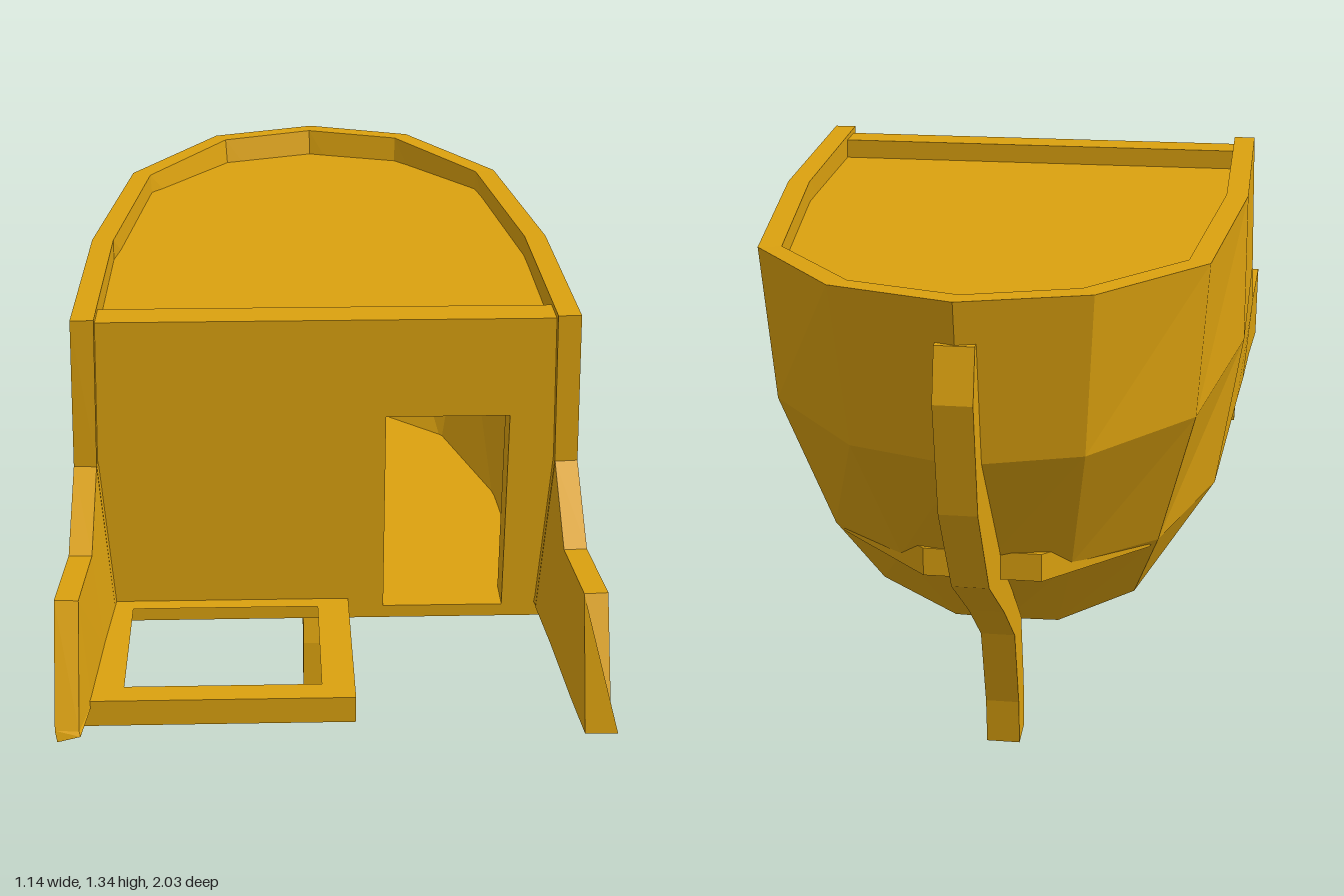
import * as THREE from 'three';

const ochre = new THREE.MeshStandardMaterial({ color: 0xdba10f });
ochre.name = 'ochre';

const mirrored = (half) => [...half, ...half.filter((p) => p[0] > 0).reverse().map(([x, ...r]) => [-x, ...r])];

// Curved wall with thickness: rows run top to bottom, points run clockwise round the stern
function shell(rows, thickness) {
  const m = rows.length, n = rows[0].length;
  const outer = rows.flat().map((p) => new THREE.Vector3(...p));
  const at = (i, j) => i * n + j;
  const tris = [];
  for (let i = 0; i < m - 1; i++) for (let j = 0; j < n - 1; j++) {
    const a = at(i, j), b = at(i, j + 1), c = at(i + 1, j), d = at(i + 1, j + 1);
    tris.push([a, c, b], [b, c, d]);
  }
  const skin = new THREE.BufferGeometry().setFromPoints(outer);
  skin.setIndex(tris.flat());
  skin.computeVertexNormals();
  const inner = [];
  outer.forEach((p, k) => {
    if (k >= n && p.distanceTo(outer[k - n]) < 1e-4) { inner.push(inner[k - n].clone()); return; }
    const q = p.clone().addScaledVector(new THREE.Vector3().fromBufferAttribute(skin.attributes.normal, k), -thickness);
    if (k < n) q.y = p.y;
    inner.push(q);
  });
  // border loop joins the outer and inner skins
  const loop = [];
  for (let j = 0; j < n - 1; j++) loop.push(at(0, j));
  for (let i = 0; i < m - 1; i++) loop.push(at(i, n - 1));
  for (let j = n - 1; j > 0; j--) loop.push(at(m - 1, j));
  for (let i = m - 1; i > 0; i--) loop.push(at(i, 0));
  const pts = [];
  for (const [a, b, c] of tris) pts.push(outer[a], outer[b], outer[c], inner[a], inner[c], inner[b]);
  loop.forEach((a, k) => {
    const b = loop[(k + 1) % loop.length];
    pts.push(outer[a], outer[b], inner[b], outer[a], inner[b], inner[a]);
  });
  const geo = new THREE.BufferGeometry().setFromPoints(pts);
  geo.computeVertexNormals();
  return geo;
}

function extrude(points, depth, hole) {
  const shape = new THREE.Shape(points.map(([x, y]) => new THREE.Vector2(x, y)));
  if (hole) shape.holes.push(new THREE.Path(hole.map(([x, y]) => new THREE.Vector2(x, y))));
  return new THREE.ExtrudeGeometry(shape, { depth, bevelEnabled: false });
}

// Horizontal slab from an [x, z] outline
function slab(outline, y, height, hole) {
  const flip = (l) => l && l.map(([x, z]) => [x, -z]);
  return extrude(flip(outline), height, flip(hole)).rotateX(-Math.PI / 2).translate(0, y, 0);
}

const rect = (x0, x1, y0, y1) => [[x0, y0], [x1, y0], [x1, y1], [x0, y1]];

export function createModel() {
  const group = new THREE.Group();
  const add = (name, geo) => {
    const mesh = new THREE.Mesh(geo, ochre);
    mesh.name = name;
    group.add(mesh);
  };

  // Stern hull, with the lower part swept down to the keel
  add('hull', shell([
    [[0.54, 1.338, 0.48], [0.535, 1.328, -0.07], [0.47, 1.325, -0.61], [0.26, 1.34, -0.9], [0, 1.342, -0.985]],
    [[0.55, 1.0, 0.48], [0.54, 0.985, -0.07], [0.45, 0.98, -0.58], [0.24, 0.98, -0.83], [0, 0.98, -0.91]],
    [[0.525, 0.63, 0.48], [0.485, 0.62, -0.07], [0.37, 0.62, -0.42], [0.19, 0.62, -0.57], [0, 0.62, -0.61]],
    [[0.525, 0.63, 0.48], [0.485, 0.62, -0.07], [0.305, 0.38, -0.2], [0.125, 0.305, -0.23], [0, 0.305, -0.235]],
  ].map(mirrored), 0.05));

  // Broken side walls reaching forward
  const wing = [
    [[0.565, 0.65, 0.988], [0.565, 0.88, 0.86], [0.555, 0.865, 0.64], [0.55, 1.0, 0.48]],
    [[0.56, 0.63, 1.0], [0.55, 0.63, 0.86], [0.537, 0.63, 0.64], [0.525, 0.63, 0.48]],
  ];
  add('leftSideWall', shell(wing, 0.05));
  add('rightSideWall', shell(wing.map((r) => [...r].reverse().map(([x, y, z]) => [-x, y, z])), 0.05));

  // Front wall with doorway
  add('frontWall', extrude([[-0.485, 0.6], [0.485, 0.6], [0.505, 1.0], [0.495, 1.325], [-0.495, 1.325], [-0.505, 1.0]],
    0.08, rect(0.13, 0.4, 0.63, 1.1)).translate(0, 0, 0.38));

  // Upper deck, sunk below the rail
  add('upperDeck', slab(mirrored([[0.5, 0.4], [0.495, -0.07], [0.43, -0.6], [0.235, -0.865], [0, -0.95]]), 1.24, 0.04));

  // Floor, thicker toward the stern where it pokes through
  const floor = slab(mirrored([[0.5, 0.46], [0.46, -0.07], [0.35, -0.42], [0.13, -0.63]]), 0.6, 0.03);
  const pos = floor.attributes.position;
  for (let i = 0; i < pos.count; i++) {
    if (pos.getY(i) > 0.62) pos.setY(i, 0.63 + 0.035 * (0.46 - pos.getZ(i)) / 1.09);
  }
  floor.computeVertexNormals();
  add('floor', floor);

  // Open frame in front of the wall
  add('porchFrame', slab(rect(-0.52, 0.05, 0.43, 0.88), 0.59, 0.06, rect(-0.435, -0.02, 0.495, 0.825)));

  // Curved keel post, drawn as [distance back, height]
  add('keelPost', extrude([
    [0.3, 0], [0.315, 0.12], [0.39, 0.34], [0.57, 0.49], [0.8, 0.66], [0.95, 0.89], [1.0, 1.14], [0.97, 1.25],
    [0.95, 1.25], [0.89, 0.98], [0.59, 0.62], [0.27, 0.33], [0.22, 0.13], [0.215, 0],
  ], 0.08).translate(0, 0, -0.04).rotateY(Math.PI / 2));

  return group;
}
